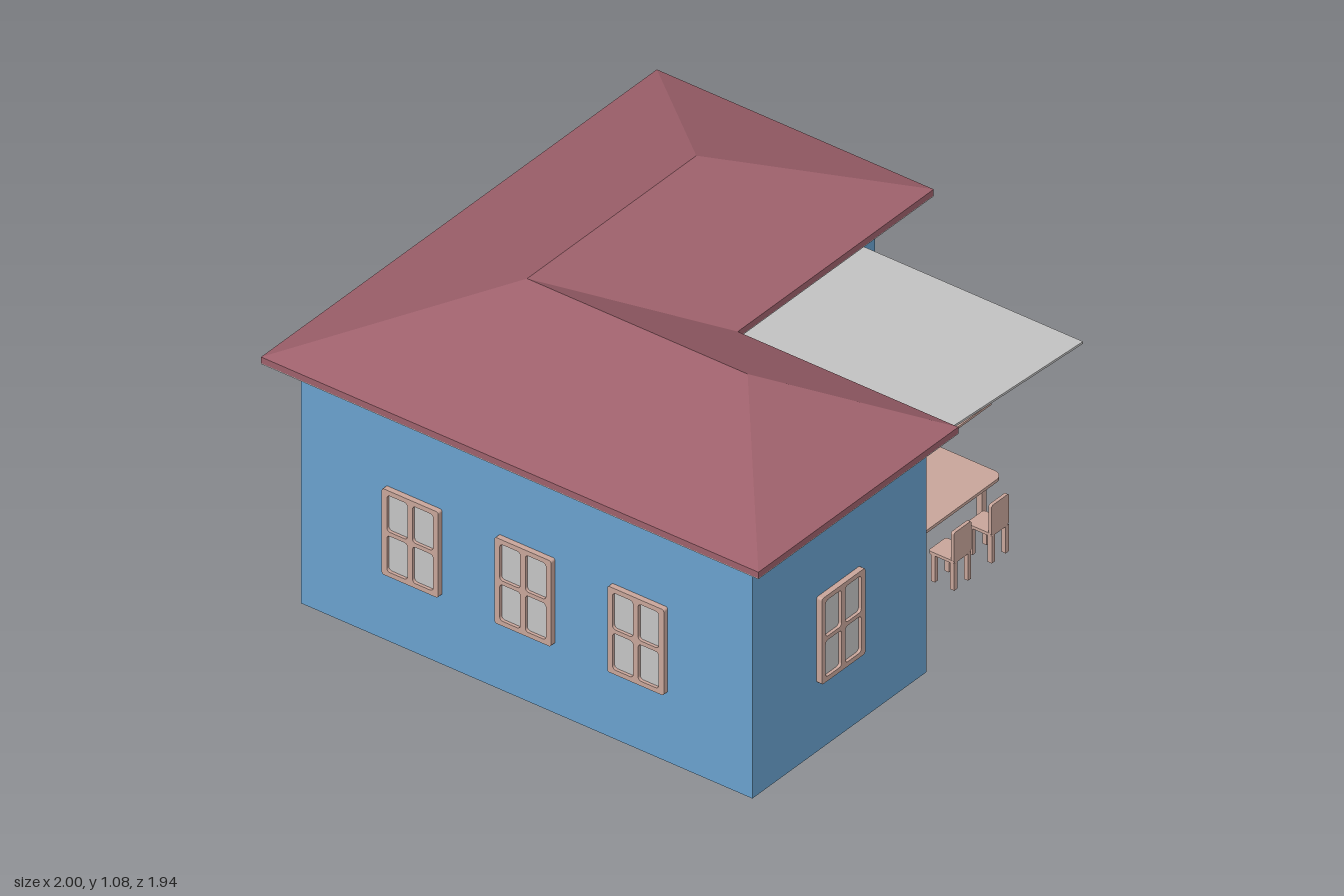
import * as THREE from 'three';

const mat = (name, color, side = THREE.FrontSide) => {
  const m = new THREE.MeshStandardMaterial({ color, side });
  m.name = name;
  return m;
};

export function createModel() {
  const blue = mat('wall blue', 0x6ba4d1);
  const red = mat('roof red', 0xa0626d);
  const pink = mat('door pink', 0xcf7f8a);
  const wood = mat('pale wood', 0xcba89d);
  const grey = mat('light grey', 0xc8c8c8);
  const steel = mat('knob steel', 0x85888a);

  const root = new THREE.Group();
  root.name = 'house';

  const add = (parent, name, geo, material, x = 0, y = 0, z = 0) => {
    const m = new THREE.Mesh(geo, material);
    m.name = name;
    m.position.set(x, y, z);
    parent.add(m);
    return m;
  };
  // box given by its min and max corners
  const box = (parent, name, material, x0, x1, y0, y1, z0, z1) =>
    add(parent, name, new THREE.BoxGeometry(x1 - x0, y1 - y0, z1 - z0), material,
      (x0 + x1) / 2, (y0 + y1) / 2, (z0 + z1) / 2);
  const group = (name, x = 0, y = 0, z = 0, turn = 0) => {
    const g = new THREE.Group();
    g.name = name;
    g.position.set(x, y, z);
    g.rotation.y = turn;
    root.add(g);
    return g;
  };
  // rounded rectangle centred on cx, cy
  const roundRect = (T, cx, cy, w, h, r) => {
    const s = new T();
    const a = w / 2 - r, b = h / 2 - r;
    s.absarc(cx + a, cy + b, r, 0, Math.PI / 2);
    s.absarc(cx - a, cy + b, r, Math.PI / 2, Math.PI);
    s.absarc(cx - a, cy - b, r, Math.PI, Math.PI * 1.5);
    s.absarc(cx + a, cy - b, r, Math.PI * 1.5, Math.PI * 2);
    s.closePath();
    return s;
  };
  const extrude = (shape, depth) =>
    new THREE.ExtrudeGeometry(shape, { depth, bevelEnabled: false, curveSegments: 4 });

  // L-shaped slab: outer bounds plus the inner corner of the notch
  const lSlab = (x0, x1, z0, z1, nx, nz, h) => {
    const pts = [[x0, z0], [x1, z0], [x1, nz], [nx, nz], [nx, z1], [x0, z1]];
    return extrude(new THREE.Shape(pts.map(([x, z]) => new THREE.Vector2(x, -z))), h)
      .rotateX(-Math.PI / 2);
  };
  add(root, 'walls', lSlab(-0.94, 0.82, -0.86, 0.9, -0.06, 0.02, 0.88), blue);
  add(root, 'soffit', lSlab(-1, 1, -0.97, 0.97, 0.01, 0.11, 0.003), grey, 0, 0.879);
  add(root, 'eaves', lSlab(-1, 1, -0.97, 0.97, 0.01, 0.11, 0.023), red, 0, 0.882);

  // hipped roof slopes, corners listed clockwise from above
  const e = 0.905, top = 1.075;
  const A = [-1, e, -0.97], B = [1, e, -0.97], C = [1, e, 0.11];
  const D = [0.01, e, 0.11], E = [0.01, e, 0.97], F = [-1, e, 0.97];
  const P = [-0.355, top, -0.43], Q = [0.5, top, -0.43], R = [-0.355, top, 0.43];
  const verts = [];
  for (const f of [[A, B, Q, P], [B, C, Q], [C, D, P, Q], [D, E, R, P], [E, F, R], [F, A, P, R]])
    for (let i = 1; i < f.length - 1; i++) verts.push(...f[0], ...f[i + 1], ...f[i]);
  const roof = new THREE.BufferGeometry();
  roof.setAttribute('position', new THREE.Float32BufferAttribute(verts, 3));
  roof.computeVertexNormals();
  add(root, 'roof', roof, red);

  // windows: frame with four rounded panes, facing local +z
  const frameShape = roundRect(THREE.Shape, 0, 0, 0.22, 0.32, 0.008);
  for (const sx of [-1, 1]) for (const sy of [-1, 1])
    frameShape.holes.push(roundRect(THREE.Path, sx * 0.05, sy * 0.075, 0.08, 0.135, 0.012));
  const frameGeo = extrude(frameShape, 0.02);
  const windowAt = (x, z, turn) => {
    const g = group('window', x, 0.417, z, turn);
    add(g, 'windowFrame', frameGeo, wood);
    box(g, 'windowGlass', grey, -0.1, 0.1, -0.15, 0.15, 0.001, 0.009);
  };
  windowAt(-0.505, 0.9, 0);
  windowAt(0.38, 0.02, 0);
  windowAt(-0.06, 0.507, Math.PI / 2);
  for (const x of [-0.505, -0.06, 0.38]) windowAt(x, -0.86, Math.PI);
  for (const z of [-0.42, 0.02, 0.46]) windowAt(-0.94, z, -Math.PI / 2);

  // door with frame, knob and step, facing +x
  const door = group('door');
  box(door, 'doorStep', red, 0.82, 0.935, 0, 0.045, -0.56, -0.22);
  box(door, 'doorPanel', pink, 0.82, 0.842, 0.045, 0.56, -0.51, -0.265);
  for (const z of [-0.525, -0.27]) box(door, 'doorJamb', pink, 0.82, 0.855, 0.045, 0.572, z, z + 0.016);
  box(door, 'doorLintel', pink, 0.82, 0.855, 0.556, 0.572, -0.509, -0.27);
  add(door, 'knobStem', new THREE.CylinderGeometry(0.005, 0.005, 0.02, 10).rotateZ(Math.PI / 2), steel, 0.85, 0.26, -0.483);
  add(door, 'knob', new THREE.SphereGeometry(0.014, 14, 10), steel, 0.862, 0.26, -0.483);

  // sloping canopy sheets with level brackets at both ends
  const canopy = (name, x0, y0, x1, y1, z0, z1, t, reach, by, material) => {
    const g = group(name);
    const sheet = add(g, 'canopySheet',
      new THREE.BoxGeometry(Math.hypot(x1 - x0, y1 - y0), t, z1 - z0), grey,
      (x0 + x1) / 2, (y0 + y1) / 2, (z0 + z1) / 2);
    sheet.rotation.z = Math.atan2(y1 - y0, x1 - x0);
    for (const z of [z0 + 0.01, z1 - 0.018])
      box(g, 'canopyBracket', material, x0, x0 + reach, by - 0.004, by + 0.004, z, z + 0.008);
  };
  canopy('doorCanopy', 0.82, 0.63, 1, 0.582, -0.56, -0.22, 0.007, 0.12, 0.597, grey);
  canopy('patioCanopy', -0.06, 0.833, 0.75, 0.788, 0.02, 0.885, 0.008, 0.36, 0.797, wood);

  // table with rounded corners
  const table = group('table', 0.457, 0, 0.472);
  add(table, 'tableTop', extrude(roundRect(THREE.Shape, 0, 0, 0.5, 0.275, 0.035), 0.011)
    .rotateX(-Math.PI / 2), wood, 0, 0.195);
  for (const x of [-0.207, 0.207]) for (const z of [-0.084, 0.084])
    box(table, 'tableLeg', wood, x - 0.011, x + 0.011, 0.025, 0.196, z - 0.011, z + 0.011);

  // chairs, backrest on local +z
  const chairAt = (x, z, turn) => {
    const g = group('chair', x, 0, z, turn);
    add(g, 'chairSeat', extrude(roundRect(THREE.Shape, 0, 0, 0.09, 0.1, 0.01), 0.011)
      .rotateX(-Math.PI / 2), wood, 0, 0.125);
    add(g, 'chairBack', extrude(roundRect(THREE.Shape, 0, 0.184, 0.088, 0.112, 0.008), 0.012),
      wood, 0, 0, 0.038);
    for (const lx of [-0.035, 0.035]) for (const lz of [-0.033, 0.042])
      box(g, 'chairLeg', wood, lx - 0.008, lx + 0.008, 0.025, 0.126, lz - 0.008, lz + 0.008);
  };
  for (const x of [0.36, 0.55]) {
    chairAt(x, 0.667, 0);
    chairAt(x, 0.257, Math.PI);
  }
  return root;
}
